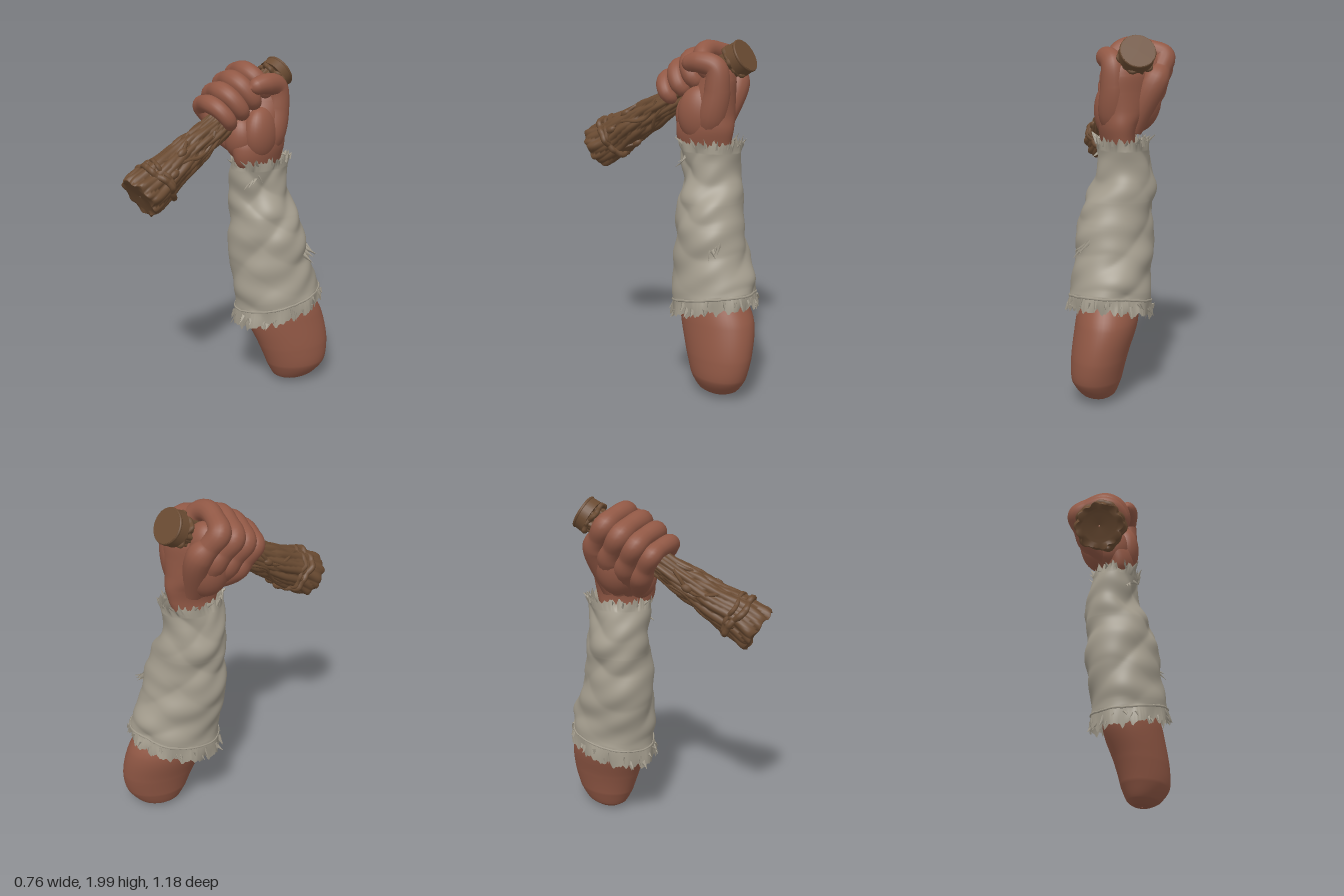
import * as THREE from 'three';
import { ParametricGeometry } from 'three/addons/geometries/ParametricGeometry.js';

const V = (x, y, z) => new THREE.Vector3(x, y, z);
const { sin, cos, abs, sqrt, PI, max, min } = Math;
const spline = (pts) => new THREE.CatmullRomCurve3(pts);
let seed = 7;
const rnd = () => (seed = (seed * 16807) % 2147483647) / 2147483647;

// Smooth surface through oval sections; rows are [y, centreX, centreZ, radiusX, radiusZ]
function ovalSurface(rows, skew, relief) {
  const centres = spline(rows.map((r) => V(r[1], r[0], r[2])));
  const radii = spline(rows.map((r) => V(r[3], 0, r[4])));
  return (u, v, target) => {
    const a = -u * 2 * PI, c = centres.getPoint(v), r = radii.getPoint(v);
    const { out, up } = relief(a, c.y, v);
    return target.set(c.x + (r.x + out) * cos(a), c.y + up, c.z + (r.z + out) * sin(a - skew));
  };
}

// Tube whose radius changes along its points, rounded at the far end
function limb(points, radii, ref, segs = 16) {
  const path = spline(points), rad = spline(radii.map((r) => V(r, 0, 0)));
  return new ParametricGeometry((u, v, target) => {
    const t = path.getTangent(v), side = t.clone().cross(ref).normalize();
    const up = side.clone().cross(t), a = u * 2 * PI, e = max(0, (v - 0.92) / 0.08);
    const r = rad.getPoint(v).x * sqrt(max(0.002, 1 - e * e));
    return target.copy(path.getPoint(v)).addScaledVector(side, r * cos(a)).addScaledVector(up, r * sin(a));
  }, segs, 64);
}

export function createModel() {
  const model = new THREE.Group();
  const material = (name, color) => {
    const m = new THREE.MeshStandardMaterial({ color, side: THREE.DoubleSide });
    m.name = name;
    return m;
  };
  const skin = material('skin', 0x915845);
  const cloth = material('cloth', 0xa39c8d);
  const wood = material('wood', 0x6a4b32);
  const add = (name, geo, mat, parent = model) => {
    const m = new THREE.Mesh(geo, mat);
    m.name = name;
    parent.add(m);
    return m;
  };

  // Forearm stump, wrist and palm in one skin
  const armRows = [
    [0.003, 0.19, -0.36, 0.006, 0.006], [0.01, 0.19, -0.36, 0.055, 0.06], [0.04, 0.2, -0.365, 0.105, 0.12],
    [0.12, 0.213, -0.37, 0.152, 0.172], [0.25, 0.195, -0.365, 0.175, 0.205], [0.43, 0.14, -0.34, 0.197, 0.225],
    [0.6, 0.105, -0.305, 0.175, 0.185], [1.0, 0.05, -0.265, 0.14, 0.13], [1.3, 0.0, -0.25, 0.09, 0.11],
    [1.42, 0.02, -0.22, 0.095, 0.163], [1.5, 0.015, -0.22, 0.115, 0.178], [1.58, -0.02, -0.225, 0.15, 0.172],
    [1.68, -0.03, -0.25, 0.165, 0.145], [1.77, -0.025, -0.28, 0.155, 0.115], [1.83, -0.02, -0.29, 0.13, 0.09],
    [1.865, -0.02, -0.29, 0.03, 0.03],
  ];
  const armSurface = ovalSurface(armRows, 0.3, (a, y) => ({
    out: 0.003 * sin(2 * a + 9 * y) * min(1, y * 8), up: 0,
  }));
  add('forearmAndPalm', new ParametricGeometry(armSurface, 48, 96), skin);

  // Club axis with its up and side directions
  const base = V(-0.25, 1.315, 0.53), end = V(0.01, 1.91, -0.45);
  const length = base.distanceTo(end), D = end.clone().sub(base).normalize();
  const U = V(0, 1, 0).addScaledVector(D, -D.y).normalize(), S = D.clone().cross(U);
  const around = (t, s, u, d = 0) => base.clone().lerp(end, t)
    .addScaledVector(S, s).addScaledVector(U, u).addScaledVector(D, d);

  // Four fingers curling over the handle, each starting as a ridge on the back of the hand
  ['littleFinger', 'ringFinger', 'middleFinger', 'indexFinger'].forEach((name, i) => {
    const t = 0.575 + i * 0.084, k = [0.9, 1, 1.04, 1][i];
    const points = [
      V(-0.03, 1.48, -0.14 - 0.05 * i), around(t, -0.115 * k, -0.085, 0.015), around(t, -0.155 * k, -0.01, 0.018),
      around(t, -0.182 * k, 0.068, 0.018), around(t, -0.105, 0.12 * k, 0.008), around(t, -0.01, 0.143 * k, -0.008),
      around(t, 0.06, 0.115 * k, -0.012), around(t, 0.095, 0.04, -0.01), around(t, 0.06, -0.03, 0),
    ];
    const radii = [0.06, 0.075, 0.06, 0.063, 0.054, 0.058, 0.054, 0.049, 0.04].map((r) => r * k);
    add(name, limb(points, radii, D), skin);
  });

  // Thumb folded over the fingers
  add('thumb', limb(
    [V(0.03, 1.44, -0.24), V(0.07, 1.58, -0.28), V(0.085, 1.72, -0.31), V(0.088, 1.84, -0.3),
      V(0.08, 1.87, -0.21), V(0.042, 1.855, -0.1)],
    [0.06, 0.085, 0.074, 0.064, 0.06, 0.042], V(1, 0, 0)), skin);

  // Fleshy masses that fill out the hand: [name, centre, radii]
  const masses = [
    ['thumbBase', V(0.05, 1.58, -0.2), V(0.088, 0.16, 0.125)],
    ['palmHeel', V(-0.04, 1.56, -0.13), V(0.1, 0.13, 0.095)],
    ['backOfHand', V(-0.08, 1.65, -0.25), V(0.14, 0.19, 0.135)],
    ['indexKnuckle', V(-0.12, 1.79, -0.3), V(0.1, 0.12, 0.08)],
  ];
  for (const [name, centre, radii] of masses) {
    const m = add(name, new THREE.SphereGeometry(1, 28, 20), skin);
    m.position.copy(centre);
    m.scale.copy(radii);
  }

  // Wrinkled sleeve with slanted, ragged hems
  const sleeveRows = [
    [0.49, 0.108, -0.312, 0.238, 0.255], [0.6, 0.102, -0.308, 0.236, 0.25], [0.8, 0.065, -0.28, 0.228, 0.218],
    [1.0, 0.05, -0.265, 0.215, 0.195], [1.1, 0.028, -0.265, 0.203, 0.19], [1.2, -0.005, -0.265, 0.176, 0.178],
    [1.32, -0.005, -0.25, 0.147, 0.165], [1.42, 0.012, -0.255, 0.142, 0.19],
  ];
  const sleeveSurface = ovalSurface(sleeveRows, 0.12, (a, y, v) => {
    // Broad slanting folds that fade in and out around the arm
    const crease = (q) => sqrt(sin(q) ** 2 + 0.06) - 0.68;
    const fold = crease(9 * y + a + 0.8 * sin(2 * a + 4 * y)) * (0.7 + 0.3 * sin(a + 6 * y))
      + 0.6 * crease(15 * y - a + 0.9 * sin(2 * a + 1)) * (0.6 + 0.4 * sin(2 * a - 5 * y))
      + 0.15 * sin(37 * y + 2 * a + 2 * sin(2 * a));
    const low = max(0, 1 - v / 0.1), high = max(0, (v - 0.93) / 0.07);
    const fray = abs(sin(8.5 * a)) * abs(sin(13 * a + 1)) + 0.5 * abs(sin(23 * a + sin(3 * a)));
    return {
      out: 0.026 * fold * (1 - 0.6 * max(low, high)) + 0.01 * low * sin(9 * a) + 0.008 * high * sin(7 * a),
      up: 0.05 * max(0, 1 - v / 0.4) * (cos(a) - sin(a)) - 0.034 * low * fray + 0.03 * high * (fray - 0.4),
    };
  });
  add('sleeve', new ParametricGeometry(sleeveSurface, 160, 110), cloth);

  // Loose shreds of cloth at the hems and the two tears
  const shreds = new THREE.Group();
  shreds.name = 'tornShreds';
  model.add(shreds);
  const shred = (u, v, rise, size, width = 0.014) => {
    const p = sleeveSurface(u, v, V(0, 0, 0)), a = -u * 2 * PI;
    const dir = V(cos(a) + rnd() - 0.5, rise * (0.5 + rnd()), sin(a) + rnd() - 0.5).normalize();
    const m = add('shred', new THREE.ConeGeometry(width, size, 5), cloth, shreds);
    m.scale.z = 0.4;
    m.quaternion.setFromUnitVectors(V(0, 1, 0), dir);
    m.position.copy(p).addScaledVector(dir, size * 0.3);
  };
  for (let i = 0; i < 30; i++) {
    shred((i + rnd()) / 30, 0.015 + 0.05 * rnd(), -1.8, 0.03 + 0.045 * rnd(), 0.01 + 0.012 * rnd());
    if (i % 2) shred((i + rnd()) / 30, 0.98, 1.4, 0.03 + 0.04 * rnd(), 0.01 + 0.012 * rnd());
  }
  for (let i = 0; i < 4; i++) shred(0.02 + i * 0.016, 0.31 + 0.01 * i, -0.5, 0.07 + 0.03 * rnd(), 0.018);
  for (let i = 0; i < 4; i++) shred(0.8 + i * 0.02, 0.83 + 0.02 * i, -1, 0.06);

  // Ridge of cloth above the lower hem
  const hem = Array.from({ length: 60 }, (_, i) => sleeveSurface(i / 60, 0.09, V(0, 0, 0)));
  add('hemRoll', new THREE.TubeGeometry(new THREE.CatmullRomCurve3(hem, true), 120, 0.007, 5, true), cloth);

  // Club, built upright and then tilted along its axis
  const club = new THREE.Group();
  club.name = 'club';
  club.position.copy(base);
  club.quaternion.setFromUnitVectors(V(0, 1, 0), D);
  model.add(club);
  const clubRows = [
    [0.012, 0.004], [0.006, 0.07], [0.0, 0.122], [0.03, 0.13], [0.1, 0.122], [0.2, 0.112],
    [0.4, 0.093], [0.6, 0.079], [0.8, 0.07], [1.0, 0.068], [1.12, 0.075],
  ].map(([y, r]) => [y, 0, 0, r, r]);
  const bark = ovalSurface(clubRows, 0, (a, y, v) => {
    const skirt = max(0, 1 - y / 0.15), body = min(1, max(0, (v - 0.14) * 12));
    const grain = abs(sin(4 * a + 5 * y + 0.7 * sin(14 * y))) + 0.6 * abs(sin(7 * a - 4 * y + sin(9 * y)));
    return {
      out: body * ((0.012 + 0.006 * skirt) * (grain - 0.9) + 0.004 * sin(24 * y + 2 * a)),
      up: 0.016 * skirt * body * sin(5 * a) * sin(3 * a + 1),
    };
  });
  add('clubShaft', new ParametricGeometry(bark, 84, 90), wood, club);

  // Lumpy bindings around the flare and under the cap
  const binding = (name, y, r, thick, tilt) => {
    const loop = Array.from({ length: 40 }, (_, i) => {
      const a = i / 40 * 2 * PI, rr = r + 0.008 * sin(5 * a) + 0.005 * sin(11 * a);
      return V(rr * cos(a), y + tilt * cos(a + 1) + 0.007 * sin(4 * a), rr * sin(a));
    });
    add(name, new THREE.TubeGeometry(new THREE.CatmullRomCurve3(loop, true), 90, thick, 8, true), wood, club);
  };
  binding('flareBinding', 0.14, 0.122, 0.019, 0.018);
  binding('flareBindingUpper', 0.168, 0.115, 0.013, -0.012);
  binding('capBinding', length - 0.075, 0.084, 0.014, 0.008);

  // Vines and knots sunk into the shaft
  for (let k = 0; k < 5; k++) {
    const points = Array.from({ length: 8 }, (_, i) => {
      const y = 0.15 + i * 0.06, a = k * 1.26 + 0.5 * sin(i * 0.9 + k * 2) + i * 0.1;
      const r = 0.109 - 0.075 * (y - 0.15) + 0.004 * sin(i * 2 + k);
      return V(r * cos(a), y, r * sin(a));
    });
    add('vine', new THREE.TubeGeometry(spline(points), 40, 0.011, 6), wood, club);
    const knot = add('knot', new THREE.SphereGeometry(0.022, 10, 8), wood, club);
    knot.scale.y = 1.6;
    knot.position.copy(points[(k * 2 + 1) % 7]);
  }

  // Pommel cap
  const cap = add('clubCap', new THREE.CylinderGeometry(0.094, 0.098, 0.065, 28), wood, club);
  cap.position.y = length - 0.032;
  const rim = add('capRim', new THREE.TorusGeometry(0.09, 0.009, 8, 28), wood, club);
  rim.rotation.x = PI / 2;
  rim.position.y = length - 0.008;
  return model;
}
